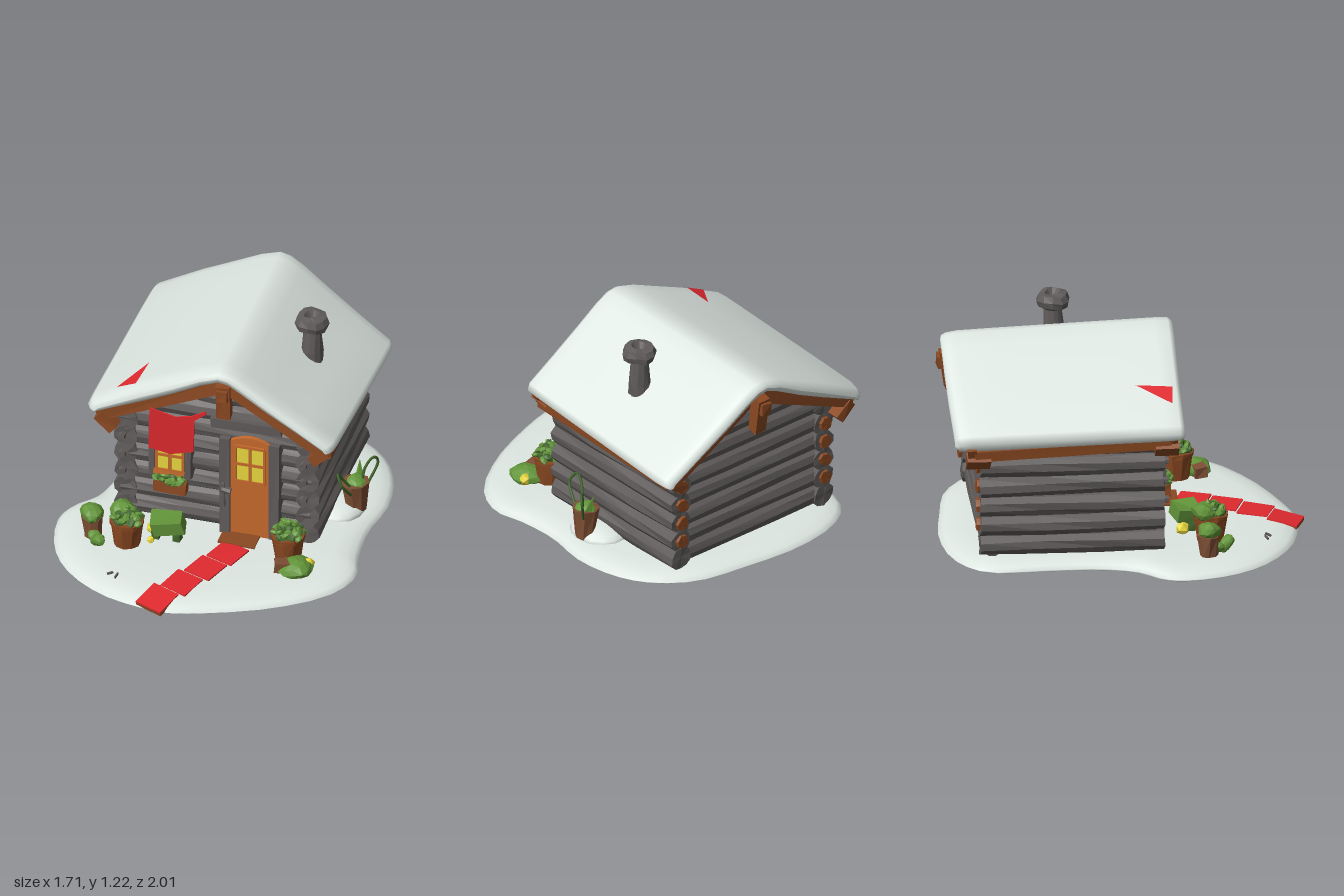
import * as THREE from 'three';

const mat = (name, color, side = THREE.FrontSide) => {
  const m = new THREE.MeshStandardMaterial({ color, side });
  m.name = name;
  return m;
};

export function createModel() {
  const root = new THREE.Group();
  root.name = 'snowyCabin';
  const snow = mat('snow', 0xe2ebe6), ice = mat('baseIce', 0xbac8c6), log = mat('greyWood', 0x605b5b);
  const brown = mat('brownWood', 0x8b4922), orange = mat('orangeWood', 0xc4692c), clay = mat('clay', 0x7f4f34);
  const yellow = mat('yellow', 0xead93e), red = mat('red', 0xe02a2f, THREE.DoubleSide);
  const green = mat('green', 0x63953a), deep = mat('deepGreen', 0x42682c);

  const add = (name, geo, m, p = [0, 0, 0], r = [0, 0, 0], parent = root) => {
    const mesh = new THREE.Mesh(geo, m);
    mesh.name = name;
    mesh.position.set(...p);
    mesh.rotation.set(...r);
    parent.add(mesh);
    return mesh;
  };
  // Wobbles a geometry by a continuous rule and facets it
  let seed = 0;
  const rough = (geo, a = 0.006) => {
    const g = geo.index ? geo.toNonIndexed() : geo, p = g.attributes.position;
    seed += 1.7;
    for (let i = 0; i < p.count; i++) {
      const x = p.getX(i), y = p.getY(i), z = p.getZ(i);
      p.setXYZ(i, x + a * Math.sin(31 * y + 47 * z + seed), y + a * Math.sin(43 * x + 29 * z + seed * 2), z + a * Math.sin(37 * x + 23 * y + seed * 3));
    }
    g.computeVertexNormals();
    return g;
  };
  const box = (w, h, d, a = 0.004) => rough(new THREE.BoxGeometry(w, h, d), a);
  const cyl = (rt, rb, h, n = 8, rows = 1, a = 0.005) => rough(new THREE.CylinderGeometry(rt, rb, h, n, rows), a);
  const blob = (r, d = 1, a = 0.01) => rough(new THREE.IcosahedronGeometry(r, d), a);
  // Skins closed rings, counterclockwise seen from the first ring's end
  const loft = rings => {
    const n = rings[0].length, idx = [], g = new THREE.BufferGeometry();
    for (let k = 0; k < rings.length - 1; k++) for (let i = 0; i < n; i++) {
      const a = k * n + i, b = k * n + (i + 1) % n;
      idx.push(a, a + n, b, b, a + n, b + n);
    }
    g.setAttribute('position', new THREE.Float32BufferAttribute(rings.flat(2), 3));
    g.setIndex(idx);
    g.computeVertexNormals();
    return g;
  };

  // Snowy ground on an icy base
  const outline = [[-0.2, 0.975], [-0.06, 0.985], [0.15, 0.93], [0.5, 0.78], [0.77, 0.57], [0.855, 0.37], [0.82, 0.2], [0.805, -0.05],
    [0.845, -0.3], [0.81, -0.55], [0.71, -0.74], [0.5, -0.9], [0.2, -0.96], [-0.17, -0.995], [-0.48, -0.93], [-0.64, -0.78],
    [-0.65, -0.45], [-0.66, -0.15], [-0.72, 0.05], [-0.83, 0.18], [-0.86, 0.3], [-0.81, 0.55], [-0.68, 0.75], [-0.45, 0.91]];
  const edge = new THREE.CatmullRomCurve3(outline.map(([x, z]) => new THREE.Vector3(x, 0, z)), true).getPoints(60).slice(0, 60);
  const rings = list => loft(list.map(([s, y]) => edge.map(p => [p.x * s, y, p.z * s])));
  add('snowGround', rings([[0, 0.062], [0.6, 0.06], [0.83, 0.056], [0.92, 0.043], [0.97, 0.028], [1, 0.009], [0.99, 0]]), snow);
  add('groundUnderside', rings([[0.99, 0], [0, 0]]), ice);
  add('snowDrift', new THREE.SphereGeometry(1, 14, 5, 0, Math.PI * 2, 0, Math.PI / 2), snow, [0.6, 0.05, -0.2]).scale.set(0.15, 0.065, 0.18);

  // Log walls
  const wallY = i => 0.12 + 0.115 * i;
  const logX = (name, x0, x1, y, z) => add(name, cyl(0.066, 0.066, x1 - x0, 10, 3, 0.004), log, [(x0 + x1) / 2, y, z], [0, 0, Math.PI / 2]);
  for (let i = 0; i < 6; i++) {
    const y = wallY(i);
    for (const x of [-0.5, 0.53]) {
      add('sideLog', cyl(0.068, 0.068, 1.01, 10, 3, 0.005), log, [x, y, -0.3], [Math.PI / 2, 0, 0]);
      if (i > 1 && i < 5) add('logPeg', cyl(0.02, 0.024, 0.04, 6, 1, 0.002), log, [x - 0.02, y, 0.21], [Math.PI / 2, 0, 0]);
      if (i > 0 && i < 5) add('cutLogEnd', cyl(0.04, 0.04, 0.03, 7, 1, 0.004), brown, [x, y, -0.81], [Math.PI / 2, 0, 0]);
    }
    logX('frontLog', -0.53, 0.55, y, 0.14);
    logX('backLog', -0.53, 0.55, y, -0.735);
  }
  for (let i = 6; i < 9; i++) {
    const t = (1.0 - wallY(i)) / 0.34;
    for (const z of [0.14, -0.735]) logX('gableLog', 0.04 - 0.72 * t, 0.1 + 0.6 * t, wallY(i), z);
  }

  // Snow on the roof: thickness closes at both ends
  const top = [[0.705, 0.765], [0.69, 0.805], [0.52, 0.91], [0.33, 1.035], [0.19, 1.13], [0.11, 1.168], [0.05, 1.175], [-0.06, 1.143], [-0.22, 1.07], [-0.41, 0.985], [-0.675, 0.85], [-0.7, 0.81]];
  const under = [[0.675, 0.735], [0.66, 0.74], [0.5, 0.84], [0.31, 0.95], [0.18, 1.035], [0.11, 1.08], [0.05, 1.09], [-0.05, 1.05], [-0.22, 0.96], [-0.4, 0.875], [-0.65, 0.765], [-0.67, 0.76]];
  const stations = [[0.31, 0], [0.305, 0.55], [0.28, 0.92], [0.2, 1], [-0.1, 1], [-0.4, 1], [-0.7, 1], [-0.88, 0.97], [-0.94, 0.8], [-0.965, 0.5], [-0.97, 0]];
  const roofRing = ([z, s]) => {
    const t = (0.3 - z) / 1.25;
    const place = (p, q) => {
      const mx = (p[0] + q[0]) / 2, my = (p[1] + q[1]) / 2;
      let x = mx + (p[0] - mx) * s, y = my + (p[1] - my) * s - 0.035 * t;
      const right = Math.max(0, x - 0.07) / 0.63, left = Math.max(0, -x) / 0.7;
      x *= (1 - 0.05 * (1 - s)) * (x < 0 ? 1 - 0.05 * t : 1 + 0.02 * t);
      return [x, y - 0.05 * t * right, z + t * (0.07 * right + 0.02 * left * left)];
    };
    return [...top.map((p, i) => place(p, under[i])), ...under.map((p, i) => place(p, top[i])).reverse()];
  };
  add('roofSnow', loft(stations.map(roofRing)), snow);
  const patch = new THREE.BufferGeometry();
  patch.setAttribute('position', new THREE.Float32BufferAttribute([-0.54, 0.928, 0.25, -0.43, 0.981, 0.26, -0.41, 0.988, 0.06], 3));
  patch.computeVertexNormals();
  add('redRoofPatch', patch, red);

  // Roof timbers, tilted slightly down toward the back
  const timbers = new THREE.Group();
  timbers.name = 'roofTimbers';
  timbers.position.z = 0.33;
  timbers.rotation.x = -0.035;
  root.add(timbers);
  const beam = (name, [x0, y0], [x1, y1], h, d, z) => add(name, box(Math.hypot(x1 - x0, y1 - y0), h, d), brown,
    [(x0 + x1) / 2, (y0 + y1) / 2, z], [0, 0, Math.atan2(y1 - y0, x1 - x0)], timbers);
  for (const end of [[-0.62, 0.762], [0.64, 0.73]]) {
    const s = Math.sign(end[0]);
    beam('roofDeck', end, [0.07, 1.07], 0.03, 1.14, -0.61);
    for (const z of [-0.06, -1.16]) {
      beam('bargeboard', [end[0] + s * 0.025, end[1] - 0.025], [0.07, 1.06], 0.085, 0.05, z);
      beam('eaveBracket', [end[0] - s * 0.07, 0.655], [end[0] + s * 0.02, 0.735], 0.06, 0.13, z - Math.sign(z + 0.6) * 0.03);
    }
    beam('eaveBeam', [end[0] - 0.03, end[1] - 0.03], [end[0] + 0.03, end[1] - 0.03], 0.06, 1.08, -0.61);
  }
  for (const [z, s] of [[-0.04, 1], [-1.22, -1]]) {
    add('ridgePost', box(0.08, 0.22, 0.07), brown, [0.07, 0.965, z], [s * 0.12, 0, 0], timbers);
    add('ridgeBeamEnd', box(0.065, 0.07, 0.1), brown, [0.07, 1.02, z + s * 0.012], [0, 0, 0.1], timbers);
  }

  // Chimney with a hollow cap
  const flue = [[0.001, 0.88], [0.064, 0.88], [0.06, 0.98], [0.048, 1.12], [0.085, 1.135], [0.094, 1.17], [0.08, 1.205], [0.045, 1.212], [0.025, 1.18], [0.001, 1.18]];
  add('chimney', rough(new THREE.LatheGeometry(flue.map(p => new THREE.Vector2(...p)), 11), 0.005), log, [0.41, 0, -0.315]);

  // Door
  const arch = new THREE.Shape();
  arch.moveTo(0.1, 0.06);
  arch.lineTo(0.325, 0.06);
  arch.lineTo(0.325, 0.68);
  arch.quadraticCurveTo(0.21, 0.74, 0.1, 0.68);
  add('door', new THREE.ExtrudeGeometry(arch, { depth: 0.05, bevelEnabled: false, curveSegments: 6 }), orange, [0, 0, 0.18]);
  for (const x of [0.07, 0.352]) add('doorFrame', box(0.058, 0.63, 0.08), log, [x, 0.375, 0.2]);
  add('lintel', box(0.4, 0.06, 0.08), log, [0.19, 0.785, 0.2], [0, 0, 0.02]);
  add('doorHandle', box(0.018, 0.15, 0.02), log, [0.062, 0.32, 0.248]);
  add('doorKnob', cyl(0.018, 0.018, 0.05, 6), log, [0.08, 0.36, 0.255], [0, 0, Math.PI / 2]);

  // Glazing with crossed bars
  const glaze = (x, y, w, h, z) => {
    add('pane', new THREE.BoxGeometry(w, h, 0.008), yellow, [x, y, z]);
    for (const s of [-1, 0, 1]) {
      add('uprightBar', new THREE.BoxGeometry(0.016, h, 0.012), orange, [x + s * w / 2, y, z + 0.005]);
      add('crossBar', new THREE.BoxGeometry(w, 0.016, 0.012), orange, [x, y + s * h / 2, z + 0.005]);
    }
  };
  glaze(0.213, 0.54, 0.165, 0.23, 0.233);
  glaze(-0.245, 0.51, 0.15, 0.2, 0.223);
  for (const x of [-0.35, -0.14]) add('windowFrame', box(0.035, 0.36, 0.06), log, [x, 0.55, 0.205]);
  add('windowSill', box(0.18, 0.03, 0.06), orange, [-0.245, 0.4, 0.205]);
  add('windowBox', box(0.185, 0.07, 0.07), brown, [-0.24, 0.315, 0.225]);

  // Red cloth hung over the window
  const cloth = new THREE.Shape([[-0.355, 0.02], [-0.23, 0], [-0.1, 0.04], [-0.09, 0.26], [-0.02, 0.32], [-0.03, 0.335], [-0.11, 0.285], [-0.2, 0.265], [-0.345, 0.3]].map(p => new THREE.Vector2(...p)));
  add('redCloth', new THREE.ExtrudeGeometry(cloth, { depth: 0.008, bevelEnabled: false }), red, [0, 0.55, 0.26], [0.06, 0, 0]);

  // Leaf clumps spread on a spiral
  const leaves = (x, y, z, rx, h, rz, n) => {
    for (let i = 0; i < n; i++) {
      const r = Math.sqrt((i + 0.5) / n), a = i * 2.4;
      add('leaf', blob(0.026, 0, 0.008), i % 3 ? green : deep, [x + rx * r * Math.cos(a), y + h * (1 - r * r), z + rz * r * Math.sin(a)], [a, i, 0]).scale.set(1.2, 0.6, 0.9);
    }
  };
  leaves(-0.24, 0.36, 0.235, 0.085, 0.012, 0.035, 20);

  // Potted plants and bushes
  for (const [x, z, h] of [[-0.42, 0.47, 0.045], [0.465, 0.365, 0.045]]) {
    add('pot', cyl(0.094, 0.072, 0.15, 10, 1, 0.003), brown, [x, 0.135, z]);
    add('potRim', cyl(0.098, 0.096, 0.03, 10, 1, 0.003), brown, [x, 0.205, z]);
    add('foliage', blob(0.08, 1), deep, [x, 0.215, z]).scale.y = 0.45 + h * 3;
    leaves(x, 0.225, z, 0.08, h, 0.08, 30);
  }
  add('smallPot', cyl(0.06, 0.05, 0.12, 8), clay, [-0.625, 0.115, 0.44]);
  const bushes = [[-0.625, 0.2, 0.44, 0.065, 0.75], [-0.57, 0.095, 0.54, 0.045, 0.9], [-0.6, 0.09, 0.5, 0.04, 0.8],
    [0.54, 0.08, 0.47, 0.098, 0.5], [-0.45, 0.235, 0.43, 0.07, 0.85]];
  for (const [x, y, z, r, s] of bushes) add('bush', blob(r), green, [x, y, z]).scale.y = s;
  add('clippedBush', box(0.17, 0.08, 0.13, 0.014), green, [-0.215, 0.145, 0.36], [0, 0.2, 0.03]);
  for (const x of [-0.28, -0.16]) add('bushStem', box(0.04, 0.06, 0.05), deep, [x, 0.085, 0.375]);
  for (const [x, y, z, r] of [[-0.31, 0.085, 0.33, 0.04], [-0.3, 0.07, 0.43, 0.022], [0.595, 0.085, 0.425, 0.038]]) add('yellowFlower', blob(r, 0, 0.004), yellow, [x, y, z]);
  add('sidePlanter', box(0.13, 0.06, 0.07), clay, [0.49, 0.09, 0.49], [0, 0.25, 0]);

  // Bucket with looping stems at the side wall
  add('bucket', cyl(0.078, 0.055, 0.18, 8), clay, [0.695, 0.14, -0.19], [0, 0, 0.06]);
  add('bucketLeaves', blob(0.06, 1), green, [0.695, 0.225, -0.19]).scale.set(0.9, 0.7, 1);
  const loops = [[[0.69, 0.2, -0.15], [0.64, 0.3, -0.1], [0.63, 0.36, -0.05], [0.66, 0.31, -0.02], [0.69, 0.2, -0.1]],
    [[0.72, 0.2, -0.2], [0.74, 0.32, -0.22], [0.775, 0.37, -0.25], [0.795, 0.33, -0.28], [0.75, 0.2, -0.24]]];
  for (const pts of loops) add('stemLoop', new THREE.TubeGeometry(new THREE.CatmullRomCurve3(pts.map(p => new THREE.Vector3(...p))), 20, 0.008, 5), deep);
  add('tallLeaf', cyl(0.002, 0.03, 0.12, 4), green, [0.7, 0.27, -0.24], [-0.3, 0, 0]);

  // Doorstep and red path, nearly flush with the snow
  add('doorstep', box(0.21, 0.03, 0.13), brown, [0.16, 0.055, 0.28]);
  const tiles = [[0.14, 0.425, 0.058, 0], [0.06, 0.59, 0.057, 0.01], [-0.03, 0.755, 0.052, 0.05], [-0.125, 0.91, 0.037, 0.17]];
  for (const [x, z, y, tilt] of tiles) {
    add('pathSlab', box(0.165, 0.02, 0.17, 0.001), brown, [x, y - 0.008, z], [tilt, -0.35, 0]);
    add('pathTile', box(0.165, 0.009, 0.172, 0.001), red, [x, y + 0.006, z], [tilt, -0.35, 0]);
  }
  for (const [x, z, r] of [[-0.43, 0.78, 0.4], [-0.39, 0.79, 1.2]]) add('twig', box(0.035, 0.012, 0.008, 0.002), log, [x, 0.062, z], [0, r, 0.3]);

  return root;
}
